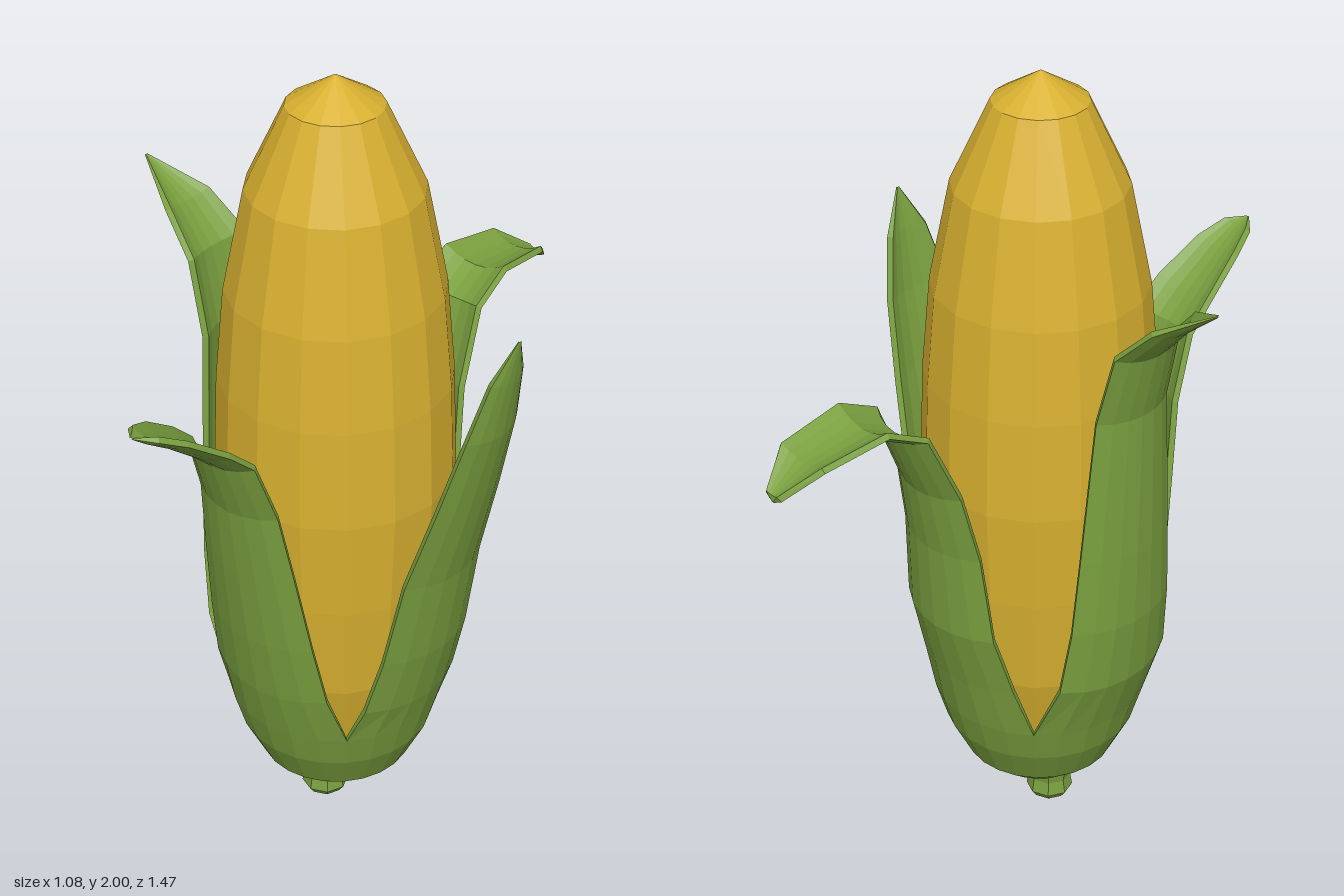
import * as THREE from 'three';

const CX = 0.027, CZ = 0.05; // axis of the cob
const SEG = 6;               // strips across each husk leaf

// Rows shared by all leaves: [outward distance, height]; together they form the cup
const CUP = [[0.04, 0.105], [0.12, 0.125], [0.185, 0.18], [0.235, 0.28], [0.262, 0.37]];

// Rows above the cup: [outward distance, height, half width]
const LEAVES = [
  { name: 'frontLeaf', turn: -Math.PI / 2, rows: [
    [0.295, 0.5, 0.17], [0.325, 0.67, 0.155], [0.355, 0.88, 0.135], [0.38, 1.06, 0.115], [0.43, 1.21, 0.1],
    [0.49, 1.265, 0.092], [0.59, 1.345, 0.07], [0.65, 1.385, 0.045], [0.68, 1.408, 0.004]] },
  { name: 'leftLeaf', turn: 0, rows: [
    [0.29, 0.46, 0.178], [0.33, 0.62, 0.165], [0.37, 0.85, 0.148], [0.43, 1.08, 0.12],
    [0.475, 1.27, 0.095], [0.5, 1.42, 0.06], [0.512, 1.525, 0.004]] },
  { name: 'rightLeaf', turn: Math.PI, rows: [
    [0.315, 0.52, 0.17], [0.335, 0.7, 0.155], [0.34, 0.9, 0.14], [0.345, 1.27, 0.11],
    [0.385, 1.44, 0.1], [0.46, 1.525, 0.075], [0.57, 1.618, 0.004]] },
  { name: 'backLeaf', turn: Math.PI / 2, rows: [
    [0.29, 0.5, 0.17], [0.335, 0.67, 0.155], [0.35, 0.9, 0.135], [0.38, 1.07, 0.115], [0.45, 1.24, 0.1],
    [0.53, 1.28, 0.095], [0.69, 1.26, 0.08], [0.775, 1.215, 0.028], [0.782, 1.21, 0.003]] },
];

// Thin curved leaf: each row is an arc-shaped closed section set across the centre line
function leafGeometry(upper) {
  const rows = [...CUP.map(([d, y]) => [d, y, d * Math.SQRT1_2]), ...upper];
  const ring = 2 * (SEG + 1);
  const positions = [], index = [];
  rows.forEach(([d, y, w], i) => {
    const inCup = i < CUP.length;
    const prev = rows[Math.max(i - 1, 0)], next = rows[Math.min(i + 1, rows.length - 1)];
    const tangent = new THREE.Vector2(next[0] - prev[0], next[1] - prev[1]).normalize();
    const nx = inCup ? 1 : tangent.y, ny = inCup ? 0 : -tangent.x;
    const radius = w * (inCup ? Math.SQRT2 : 1.7);
    const half = Math.asin(w / radius);
    const thick = Math.min(0.015, radius * 0.4);
    for (let k = 0; k < ring; k++) {
      const outer = k <= SEG;
      const a = half * (2 * (outer ? k : ring - 1 - k) / SEG - 1);
      const r = outer ? radius : radius - thick;
      const out = r * Math.cos(a) - radius;
      positions.push(d + nx * out, y + ny * out, r * Math.sin(a));
    }
  });
  for (let i = 0; i < rows.length - 1; i++) {
    for (let k = 0; k < ring; k++) {
      const k2 = (k + 1) % ring;
      const a = i * ring + k, c = i * ring + k2;
      const b = a + ring, e = c + ring;
      index.push(a, b, c, c, b, e);
    }
  }
  const g = new THREE.BufferGeometry();
  g.setAttribute('position', new THREE.Float32BufferAttribute(positions, 3));
  g.setIndex(index);
  const flat = g.toNonIndexed();
  flat.computeVertexNormals();
  return flat;
}

// Faceted solid of revolution
function lathe(profile, sides) {
  const g = new THREE.LatheGeometry(profile.map(([r, y]) => new THREE.Vector2(r, y)), sides).toNonIndexed();
  g.computeVertexNormals();
  return g;
}

export function createModel() {
  const kernelGold = new THREE.MeshStandardMaterial({ color: 0xd8b030, flatShading: true });
  kernelGold.name = 'kernelGold';
  const huskGreen = new THREE.MeshStandardMaterial({ color: 0x7aa03f, flatShading: true });
  huskGreen.name = 'huskGreen';

  const model = new THREE.Group();
  model.name = 'cornCob';
  const add = (name, geometry, material, x, z) => {
    const mesh = new THREE.Mesh(geometry, material);
    mesh.name = name;
    mesh.position.set(x, 0, z);
    model.add(mesh);
    return mesh;
  };

  // Cob
  add('cob', lathe([[0, 0.15], [0.12, 0.2], [0.2, 0.32], [0.245, 0.5], [0.27, 0.75], [0.284, 1.0],
    [0.275, 1.25], [0.255, 1.48], [0.205, 1.73], [0.112, 1.93], [0, 2]], 16), kernelGold, CX, CZ);

  // Husk
  for (const { name, turn, rows } of LEAVES) {
    add(name, leafGeometry(rows), huskGreen, CX, CZ).rotation.y = turn;
  }

  // Stem
  add('stem', lathe([[0, 0], [0.045, 0.012], [0.058, 0.03], [0.052, 0.065], [0.058, 0.1], [0.075, 0.12], [0, 0.14]], 8),
    huskGreen, 0, 0.06);

  return model;
}
